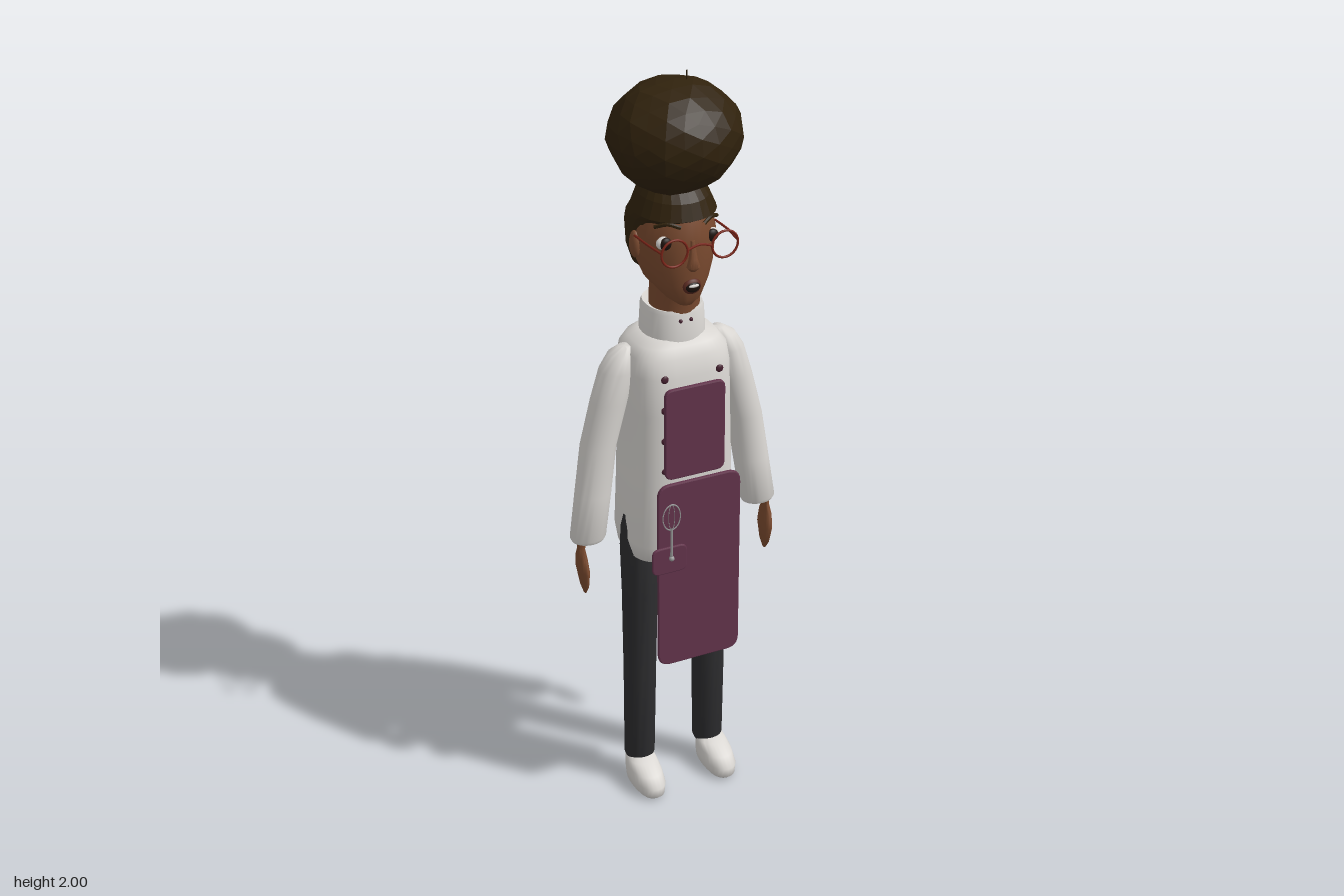
import * as THREE from 'three';
import { toCreasedNormals } from 'three/addons/utils/BufferGeometryUtils.js';

const mat = (name, color, extra = {}) => Object.assign(new THREE.MeshStandardMaterial({ color, ...extra }), { name });

// Stack of superellipse sections, rows of [y, centreX, centreZ, halfX, halfZ], bottom to top
function loft(rows, power = 2, n = 28) {
  const pos = [], idx = [];
  for (const [y, cx, cz, hx, hz] of rows) {
    for (let j = 0; j < n; j++) {
      const t = (j / n) * Math.PI * 2, c = Math.cos(t), s = Math.sin(t);
      pos.push(cx + hx * Math.sign(c) * Math.abs(c) ** (2 / power), y, cz + hz * Math.sign(s) * Math.abs(s) ** (2 / power));
    }
  }
  const last = rows.length - 1, bottom = rows.length * n, top = bottom + 1;
  for (const r of [rows[0], rows[last]]) pos.push(r[1], r[0], r[2]);
  for (let j = 0; j < n; j++) {
    const k = (j + 1) % n;
    for (let i = 0; i < last; i++) {
      const a = i * n + j, b = i * n + k;
      idx.push(a, a + n, b, b, a + n, b + n);
    }
    idx.push(bottom, j, k, top, last * n + k, last * n + j);
  }
  const g = new THREE.BufferGeometry();
  g.setAttribute('position', new THREE.Float32BufferAttribute(pos, 3));
  g.setIndex(idx);
  return toCreasedNormals(g, 1.0);
}

// Rounded cloth panel centred on x, y with its back at z = 0
function panel(w, h, r, depth) {
  const s = new THREE.Shape(), x = w / 2, y = h / 2;
  s.moveTo(-x + r, -y);
  s.lineTo(x - r, -y).quadraticCurveTo(x, -y, x, -y + r);
  s.lineTo(x, y - r).quadraticCurveTo(x, y, x - r, y);
  s.lineTo(-x + r, y).quadraticCurveTo(-x, y, -x, y - r);
  s.lineTo(-x, -y + r).quadraticCurveTo(-x, -y, -x + r, -y);
  return new THREE.ExtrudeGeometry(s, { depth, bevelThickness: 0.003, bevelSize: 0.003, bevelOffset: -0.003, bevelSegments: 2, curveSegments: 6 });
}

export function createModel() {
  const model = new THREE.Group();
  const white = mat('jacketWhite', 0xd9d6d2);
  const skin = mat('skin', 0x7a4a2f);
  const hair = mat('hair', 0x30220d, { flatShading: true });
  const plum = mat('apronPlum', 0x63344c);
  const dark = mat('trousers', 0x2d2d2f);
  const red = mat('glassesRed', 0x7a2418);
  const metal = mat('metal', 0x9a9a9a);
  const black = mat('darkDetail', 0x1d120d);
  const button = mat('button', 0x45202f);
  const lip = mat('lip', 0x5a2a20);

  const add = (name, geo, m, x = 0, y = 0, z = 0) => {
    const mesh = new THREE.Mesh(geo, m);
    mesh.name = name;
    mesh.position.set(x, y, z);
    model.add(mesh);
    return mesh;
  };
  const ball = (name, m, r, x, y, z, sx = 1, sy = 1, sz = 1) => {
    const b = add(name, new THREE.SphereGeometry(r, 16, 12), m, x, y, z);
    b.scale.set(sx, sy, sz);
    return b;
  };
  const rod = (name, m, r, ...pts) => add(name,
    new THREE.TubeGeometry(new THREE.CatmullRomCurve3(pts.map(p => new THREE.Vector3(...p))), 12, r, 6), m);

  // Jacket and collar
  add('jacket', loft([
    [0.722, 0, -0.01, 0.115, 0.09], [0.735, 0, -0.01, 0.137, 0.112], [0.78, 0, -0.01, 0.144, 0.119],
    [0.95, 0, -0.01, 0.137, 0.117], [1.15, 0, -0.012, 0.132, 0.116], [1.25, 0, -0.014, 0.132, 0.112],
    [1.295, 0, -0.016, 0.127, 0.1], [1.32, 0, -0.018, 0.108, 0.088], [1.335, 0, -0.02, 0.075, 0.075],
  ], 3.2, 40), white);
  add('collar', loft([
    [1.32, 0, -0.02, 0.08, 0.082], [1.40, 0, -0.02, 0.075, 0.08],
    [1.41, 0, -0.02, 0.071, 0.076], [1.408, 0, -0.02, 0.062, 0.066],
  ], 2.3), white);
  add('neck', loft([[1.36, 0, -0.01, 0.062, 0.066], [1.43, 0, -0.005, 0.062, 0.066], [1.5, 0, 0, 0.06, 0.075]]), skin);

  // Limbs, mirrored
  for (const s of [-1, 1]) {
    const limb = rows => rows.map(([y, x, ...r]) => [y, x * s, ...r]);
    add('sleeve', loft(limb([
      [0.79, 0.24, -0.01, 0.042, 0.035], [0.8, 0.24, -0.01, 0.047, 0.04], [0.92, 0.222, -0.015, 0.047, 0.043],
      [1.05, 0.203, -0.02, 0.046, 0.046], [1.17, 0.172, -0.02, 0.047, 0.047], [1.25, 0.15, -0.02, 0.045, 0.045],
      [1.29, 0.137, -0.02, 0.034, 0.035], [1.308, 0.128, -0.02, 0.015, 0.018],
    ])), white);
    add('hand', loft(limb([
      [0.642, 0.257, 0.004, 0.003, 0.006], [0.665, 0.258, 0.003, 0.009, 0.022], [0.71, 0.26, 0, 0.013, 0.035],
      [0.745, 0.262, -0.002, 0.012, 0.028], [0.77, 0.262, -0.004, 0.009, 0.014], [0.8, 0.258, -0.006, 0.012, 0.018],
    ]), 2, 16), skin);
    add('trouserLeg', loft(limb([
      [0.07, 0.101, -0.012, 0.036, 0.035], [0.085, 0.101, -0.012, 0.041, 0.039], [0.35, 0.1, -0.008, 0.043, 0.043],
      [0.6, 0.1, -0.004, 0.046, 0.05], [0.74, 0.1, -0.003, 0.05, 0.054], [0.8, 0.1, -0.003, 0.048, 0.045],
      [0.84, 0.1, -0.003, 0.043, 0.02],
    ])), dark);
    add('shoe', loft(limb([
      [0, 0.105, 0.034, 0.032, 0.07], [0.01, 0.105, 0.034, 0.039, 0.081], [0.035, 0.105, 0.034, 0.042, 0.082],
      [0.058, 0.105, 0.022, 0.041, 0.068], [0.075, 0.104, 0, 0.038, 0.046], [0.088, 0.103, -0.012, 0.026, 0.03],
    ]), 2.3), white);
    // Jacket buttons
    for (const y of [1.255, 1.17, 1.085, 1.0]) ball('jacketButton', button, 0.01, 0.074 * s, y, 0.097, 1, 1, 0.5);
    ball('collarButton', button, 0.005, 0.014 * s, 1.385, 0.06);
    // Ears, eyes and brows
    ball('ear', skin, 0.034, 0.1 * s, 1.577, -0.014, 0.4, 1.05, 0.55);
    ball('eyeWhite', white, 0.023, 0.06 * s, 1.605, 0.069, 1, 0.75, 0.6);
    ball('iris', black, 0.016, 0.061 * s, 1.605, 0.076, 1, 1, 0.6);
    rod('eyebrow', hair, 0.005, [0.03 * s, 1.647, 0.094], [0.057 * s, 1.655, 0.079], [0.082 * s, 1.645, 0.057]);
    // Glasses
    add('glassesRim', new THREE.TorusGeometry(0.034, 0.003, 8, 28), red, 0.066 * s, 1.605, 0.135);
    rod('glassesTemple', red, 0.003, [0.099 * s, 1.61, 0.135], [0.106 * s, 1.609, 0.07], [0.107 * s, 1.605, 0]);
  }
  rod('glassesBridge', red, 0.003, [-0.032, 1.608, 0.135], [0, 1.616, 0.135], [0.032, 1.608, 0.135]);

  // Head, nose and mouth
  add('head', loft([
    [1.432, 0, 0.055, 0.02, 0.02], [1.45, 0, 0.038, 0.045, 0.05], [1.49, 0, 0, 0.078, 0.093],
    [1.53, 0, -0.01, 0.092, 0.107], [1.6, 0, -0.012, 0.1, 0.11], [1.66, 0, -0.015, 0.095, 0.104],
    [1.71, 0, -0.02, 0.07, 0.08],
  ], 2, 32), skin);
  add('nose', loft([
    [1.533, 0, 0.098, 0.008, 0.008], [1.543, 0, 0.1, 0.017, 0.015],
    [1.565, 0, 0.097, 0.011, 0.014], [1.61, 0, 0.092, 0.006, 0.009],
  ], 2, 16), skin);
  ball('mouth', lip, 0.024, 0, 1.49, 0.092, 1, 0.85, 0.5);
  ball('mouthOpening', black, 0.019, 0, 1.49, 0.099, 1, 0.7, 0.4);
  ball('teeth', white, 0.014, 0, 1.495, 0.104, 1, 0.3, 0.3);

  // Hair: close cap and a faceted bun
  add('hairCap', loft([
    [1.495, 0, -0.055, 0.065, 0.055], [1.51, 0, -0.052, 0.085, 0.072], [1.56, 0, -0.045, 0.103, 0.086],
    [1.62, 0, -0.043, 0.107, 0.09], [1.645, 0, -0.03, 0.106, 0.101], [1.66, 0, -0.013, 0.102, 0.112],
    [1.70, 0, -0.015, 0.085, 0.1], [1.73, 0, -0.018, 0.068, 0.075],
  ], 2.1, 24), hair);
  const bun = new THREE.IcosahedronGeometry(1, 3), p = bun.attributes.position;
  for (let i = 0; i < p.count; i++) {
    const x = p.getX(i), y = p.getY(i), z = p.getZ(i);
    const k = 1 + 0.025 * Math.sin(7.1 * x + 3 * y) * Math.cos(6.3 * z - 4 * y);
    const taper = y < 0 ? 1 + 0.1 * y : 1;
    p.setXYZ(i, x * k * taper * 0.165, y * k * 0.14, z * k * taper * 0.157);
  }
  bun.computeVertexNormals();
  add('hairBun', bun, hair, 0, 1.84, -0.005);
  rod('strayHair', hair, 0.0015, [0.027, 1.95, 0.005], [0.027, 1.975, 0.005], [0.027, 2, 0.005]);

  // Apron
  add('apronBib', panel(0.163, 0.25, 0.022, 0.006), plum, -0.002, 1.11, 0.112);
  add('apronSkirt', panel(0.228, 0.533, 0.035, 0.005), plum, 0, 0.718, 0.134);
  add('apronPocket', panel(0.096, 0.076, 0.02, 0.002), plum, -0.085, 0.772, 0.144);

  // Small whisk hanging at the pocket
  rod('whiskHandle', metal, 0.004, [-0.083, 0.78, 0.153], [-0.083, 0.82, 0.154], [-0.083, 0.87, 0.154]);
  for (const turn of [0, Math.PI / 2]) {
    const wire = add('whiskWire', new THREE.TorusGeometry(0.024, 0.0015, 6, 24), metal, -0.083, 0.9, 0.154);
    wire.scale.set(turn ? 0.35 : 1, 1.5, 1);
  }
  ball('whiskKnob', metal, 0.007, -0.083, 0.78, 0.154);

  return model;
}
